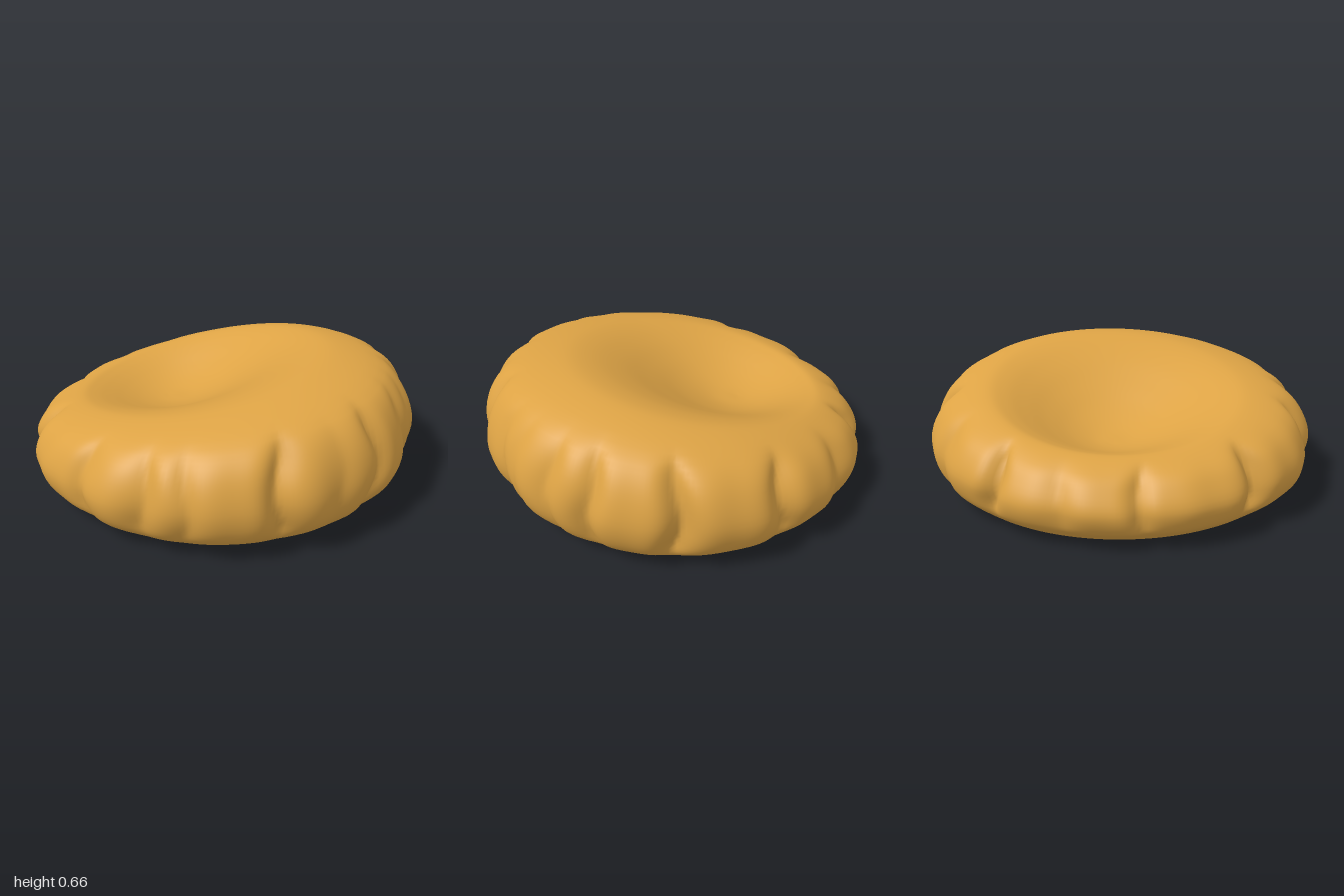
import * as THREE from 'three';

const fabric = new THREE.MeshStandardMaterial({ color: 0xdda345 });
fabric.name = 'ochre fabric';

// Gathered creases round the side: [angle in degrees from the front towards +x, depth, width]
const creases = [
  [-3, 0.055, 3], [16, 0.035, 4], [25, 0.015, 3], [38, 0.03, 3], [51, 0.05, 3], [75, 0.08, 3.5],
  [106, 0.07, 3.5], [129, 0.03, 4], [153, 0.08, 3], [174, 0.02, 4], [-164, 0.06, 3],
  [-131, 0.08, 3.5], [-94, 0.055, 4], [-73, 0.045, 4], [-61, 0.025, 3], [-36, 0.07, 3.5], [-18, 0.015, 4],
];
const SEGMENTS = 288;
const STEPS = 64;
const hollow = new THREE.Vector3(-0.02, 0.285, -0.37);

// How far the fabric is pulled in at an angle and height; creases waver as they rise
function pull(angle, y) {
  const degrees = THREE.MathUtils.radToDeg(angle) + 1.2 * Math.sin(y * 14 + angle * 5);
  let depth = 0.007 * Math.sin(angle * 19 + y * 5) * Math.sin(angle * 7 - y * 6);
  for (const [at, amount, width] of creases) {
    const away = Math.abs(((degrees - at + 540) % 360) - 180);
    depth += amount * Math.exp(-Math.pow(away / width, 1.5));
  }
  return depth;
}

// Cross-section from the middle of the base, round the side, over the rim and into the hollow
function section(angle) {
  const sx = Math.sin(angle), cz = Math.cos(angle);
  const back = Math.max(0, -cz);
  const rim = 0.54 + 0.113 * cz + 0.043 * sx + 0.01 * sx * sx - 0.045 * back * back;
  const mid = 0.2 + (rim - 0.4) * 0.45;
  const base = 0.785 - 0.045 * cz;
  const crestRadius = 0.665 - 0.1 * cz + 0.015 * cz * cz;
  const shoulder = crestRadius + (1 - crestRadius) * (0.57 + 0.06 * cz);
  const profile = [
    [0, 0], [0.4, 0], [base, 0.003], [0.5 * base + 0.505, 0.055], [0.975, mid * 0.53], [1.002, mid],
    [0.95, mid + (rim - mid) * 0.5], [shoulder, mid + (rim - mid) * (0.8 + 0.03 * cz)], [crestRadius, rim],
  ];
  const points = profile.map(([r, y]) => new THREE.Vector3(r * sx, y, r * cz));
  const crest = points[points.length - 1];
  const ease = 0.9 + 0.1 * cz;
  for (const t of [0.15, 0.32, 0.5, 0.68, 0.85, 1]) {
    const p = crest.clone().lerp(hollow, t);
    p.y = THREE.MathUtils.lerp(rim, hollow.y, 0.5 - 0.5 * Math.cos(Math.PI * Math.pow(t, ease)));
    points.push(p);
  }
  const curve = new THREE.CatmullRomCurve3(points, false, 'centripetal');

  // Creases fade out towards the base and the crest
  return curve.getPoints(STEPS).map((p) => {
    const fade = THREE.MathUtils.smoothstep(Math.hypot(p.x, p.z), 0.78, 0.97)
      * THREE.MathUtils.smoothstep(p.y, 0.01, 0.18);
    const depth = pull(angle, p.y) * fade;
    return [p.x * (1 - depth), Math.max(0, p.y - depth * 0.15), p.z * (1 - depth)];
  });
}

// Closed skin: one shared point at each pole, rings in between
function cushionGeometry() {
  const positions = [0, 0, 0, hollow.x, hollow.y, hollow.z];
  const indices = [];
  const id = (i, j) => {
    if (j === 0) return 0;
    if (j === STEPS) return 1;
    return 2 + (i % SEGMENTS) * (STEPS - 1) + j - 1;
  };
  for (let i = 0; i < SEGMENTS; i++) {
    const line = section((i / SEGMENTS) * Math.PI * 2);
    for (let j = 1; j < STEPS; j++) positions.push(...line[j]);
    for (let j = 0; j < STEPS; j++) {
      const a = id(i, j), b = id(i + 1, j), c = id(i + 1, j + 1), d = id(i, j + 1);
      if (j > 0) indices.push(a, b, c);
      if (j < STEPS - 1) indices.push(a, c, d);
    }
  }
  const geometry = new THREE.BufferGeometry();
  geometry.setAttribute('position', new THREE.Float32BufferAttribute(positions, 3));
  geometry.setIndex(indices);
  geometry.computeVertexNormals();
  return geometry;
}

export function createModel() {
  const group = new THREE.Group();
  group.name = 'floorCushion';
  const cushion = new THREE.Mesh(cushionGeometry(), fabric);
  cushion.name = 'cushion';
  group.add(cushion);
  return group;
}
